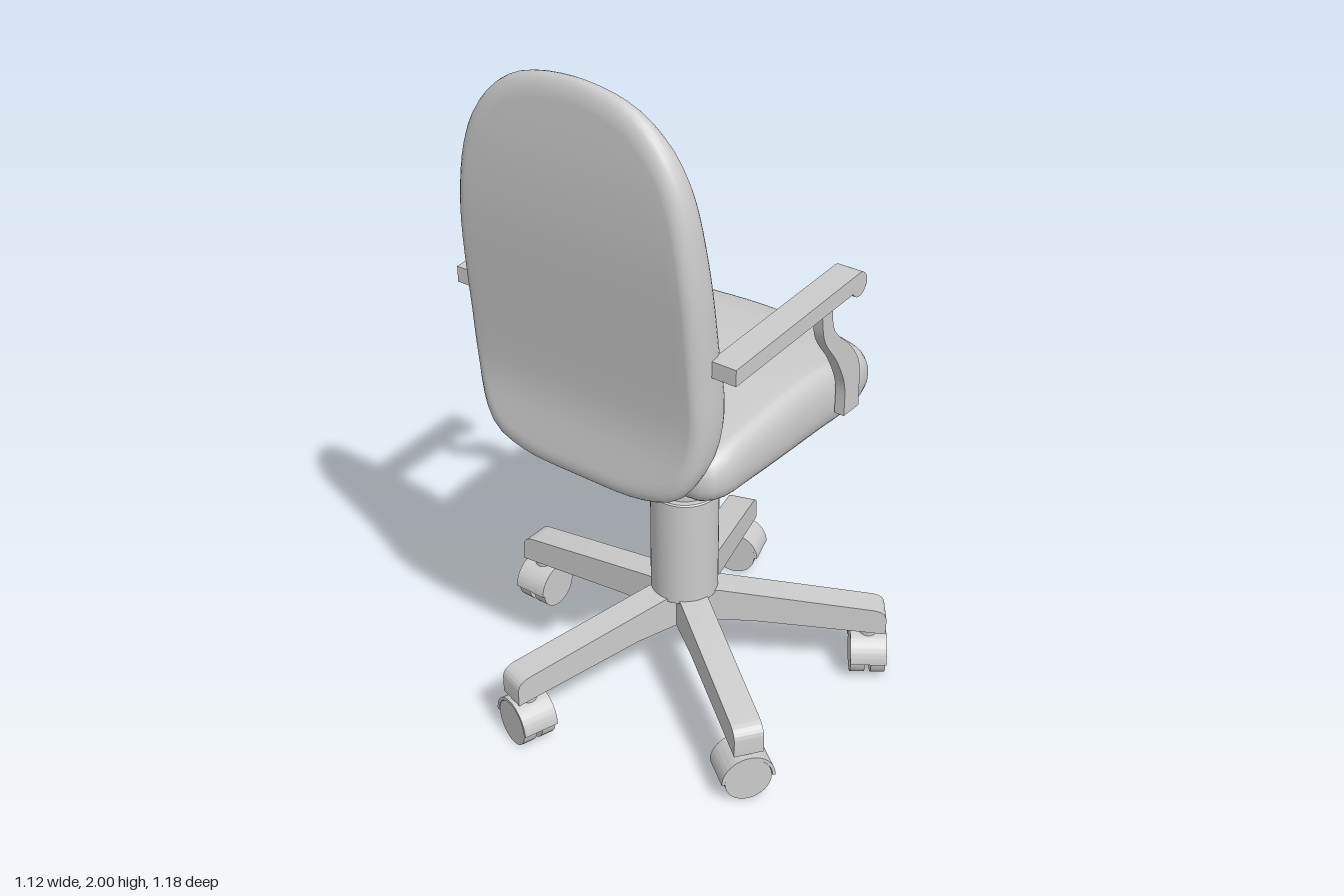
import * as THREE from 'three';
import { toCreasedNormals } from 'three/addons/utils/BufferGeometryUtils.js';

const material = new THREE.MeshStandardMaterial({ color: 0xcccccc, roughness: 0.8 });

function addMesh(parent, name, geometry, x = 0, y = 0, z = 0) {
  const mesh = new THREE.Mesh(geometry, material);
  mesh.name = name;
  mesh.position.set(x, y, z);
  parent.add(mesh);
  return mesh;
}

// Smooth function through a few [position, value] pairs, positions ascending
function profile(pairs) {
  const f = new THREE.CubicInterpolant(pairs.map(p => p[0]), pairs.map(p => p[1]), 1, new Float32Array(1));
  return t => f.evaluate(t)[0];
}

// Cushion: a symmetric outline shrunk into rings, with a rounded rim and two curved faces.
// place(u, v, w) gives the 3D point; w runs from -1 (one face) to 1 (other face).
function cushion(half, centreV, rim, place) {
  const mirrored = half.filter(p => p[0] > 0).reverse().map(([u, v]) => [-u, v]);
  const curve = new THREE.CatmullRomCurve3(
    [...half, ...mirrored].map(([u, v]) => new THREE.Vector3(u, v, 0)), true);
  const n = 80;
  const outline = curve.getSpacedPoints(n).slice(0, n);

  const rings = [];
  const inner = 10, round = 12;
  for (let i = 1; i < inner; i++) rings.push([(1 - rim) * i / inner, -1]);
  for (let i = 0; i <= round; i++) {
    const a = -Math.PI / 2 + Math.PI * i / round;
    const s = Math.sin(a);
    rings.push([1 - rim * (1 - Math.cos(a)), Math.sign(s) * Math.abs(s) ** 0.85]);
  }
  for (let i = inner - 1; i > 0; i--) rings.push([(1 - rim) * i / inner, 1]);

  const positions = [], index = [];
  for (const [s, w] of rings)
    for (const p of outline) positions.push(...place(p.x * s, centreV + (p.y - centreV) * s, w));
  for (let j = 0; j < rings.length - 1; j++)
    for (let i = 0; i < n; i++) {
      const k = (i + 1) % n;
      const a = j * n + i, b = j * n + k, c = b + n, d = a + n;
      index.push(a, b, c, a, c, d);
    }
  const first = rings.length * n, last = first + 1, top = (rings.length - 1) * n;
  positions.push(...place(0, centreV, -1), ...place(0, centreV, 1));
  for (let i = 0; i < n; i++) {
    const k = (i + 1) % n;
    index.push(first, k, i, last, top + i, top + k);
  }
  const g = new THREE.BufferGeometry();
  g.setAttribute('position', new THREE.Float32BufferAttribute(positions, 3));
  g.setIndex(index);
  g.computeVertexNormals();
  return g;
}

// Flat shape extruded evenly about its own plane
function slab(shape, width) {
  const g = new THREE.ExtrudeGeometry(shape, { depth: width, bevelEnabled: false, curveSegments: 20 });
  g.translate(0, 0, -width / 2);
  return toCreasedNormals(g, 0.6);
}

// Same, with the shape drawn in (z, y) and the width along x
const sideSlab = (shape, width) => slab(shape, width).rotateY(-Math.PI / 2);

function createSeat(chair) {
  const under = profile([[-0.43, 0.945], [-0.37, 0.918], [-0.28, 0.902], [-0.1, 0.897], [0.38, 0.897]]);
  const over = profile([[-0.43, 1.04], [-0.35, 1.065], [-0.25, 1.085], [-0.05, 1.097], [0.2, 1.072], [0.38, 1.04]]);
  const half = [[0, -0.427], [0.2, -0.406], [0.32, -0.378], [0.37, -0.345], [0.387, -0.28], [0.383, -0.1],
    [0.372, 0.2], [0.362, 0.32], [0.33, 0.365], [0.25, 0.374], [0, 0.374]];
  addMesh(chair, 'seat', cushion(half, -0.03, 0.12, (u, v, w) => {
    const top = over(v) - 0.01 * (u / 0.38) ** 2;
    return [u, THREE.MathUtils.lerp(top, under(v), (w + 1) / 2), v];
  }));
  addMesh(chair, 'seatPlate', new THREE.BoxGeometry(0.39, 0.03, 0.39), 0, 0.895, 0);
}

function createBackrest(chair) {
  const front = profile([[0.91, 0.375], [0.98, 0.355], [1.08, 0.32], [1.2, 0.308], [1.4, 0.338],
    [1.6, 0.363], [1.8, 0.376], [2, 0.38]]);
  const rear = profile([[0.91, 0.466], [1, 0.452], [1.1, 0.438], [1.2, 0.44], [1.4, 0.458],
    [1.6, 0.474], [1.8, 0.476], [2, 0.464]]);
  const half = [[0, 0.91], [0.2, 0.916], [0.3, 0.95], [0.355, 1.04], [0.374, 1.15], [0.375, 1.3],
    [0.365, 1.6], [0.325, 1.8], [0.265, 1.9], [0.17, 1.97], [0, 2]];
  addMesh(chair, 'backrest', cushion(half, 1.45, 0.1, (u, v, w) => {
    const hollow = 0.035 * (1 - (u / 0.375) ** 2);
    return [u, v, THREE.MathUtils.lerp(front(v) + hollow, rear(v), (w + 1) / 2)];
  }));
}

function createArmrests(chair) {
  // Slightly rising pad with a rounded grip
  const pad = new THREE.Shape();
  pad.moveTo(0.395, 1.315);
  pad.lineTo(-0.115, 1.345);
  pad.absarc(-0.146, 1.362, 0.034, -0.5, -Math.PI * 1.5, true);
  pad.lineTo(0.395, 1.36);
  // S-curved upright
  const upright = new THREE.Shape();
  upright.moveTo(-0.015, 1.35);
  upright.splineThru([[-0.033, 1.24], [-0.1, 1.145], [-0.143, 1.055], [-0.148, 0.957]]
    .map(p => new THREE.Vector2(...p)));
  upright.lineTo(-0.22, 0.957);
  upright.lineTo(-0.218, 1.06);
  upright.splineThru([[-0.205, 1.11], [-0.16, 1.17], [-0.08, 1.25], [-0.062, 1.35]]
    .map(p => new THREE.Vector2(...p)));
  for (const [side, s] of [['left', 1], ['right', -1]]) {
    const arm = new THREE.Group();
    arm.name = side + 'Armrest';
    addMesh(arm, 'armPad', sideSlab(pad, 0.076), s * 0.407);
    addMesh(arm, 'armUpright', sideSlab(upright, 0.03), s * 0.403);
    chair.add(arm);
  }
}

// Twin-wheel caster with its axle along x
function createCaster() {
  const caster = new THREE.Group();
  caster.name = 'caster';
  for (const s of [-1, 1]) {
    const wheel = new THREE.CylinderGeometry(0.067, 0.067, 0.042, 32).rotateZ(Math.PI / 2);
    addMesh(caster, 'wheel', wheel, s * 0.03, 0.067, 0);
  }
  const hood = new THREE.Shape();
  hood.absarc(0, 0, 0.077, 0, Math.PI, false);
  hood.absarc(0, 0, 0.068, Math.PI, 0, true);
  addMesh(caster, 'hood', sideSlab(hood, 0.106), 0, 0.067, 0);
  addMesh(caster, 'axleBlock', new THREE.BoxGeometry(0.02, 0.08, 0.06), 0, 0.095, 0);
  addMesh(caster, 'stem', new THREE.CylinderGeometry(0.03, 0.03, 0.045, 24), 0, 0.153, 0);
  return caster;
}

function createBase(chair) {
  // Gas column in three telescoping steps: radius, bottom, top
  const steps = [[0.098, 0.3, 0.64], [0.077, 0.6, 0.772], [0.053, 0.75, 0.885]];
  for (const [r, y0, y1] of steps) {
    const b = 0.004;
    const points = [[0, y0], [r, y0], [r, y1 - b], [r - b, y1], [0, y1]].map(p => new THREE.Vector2(...p));
    addMesh(chair, 'column', toCreasedNormals(new THREE.LatheGeometry(points, 40), 0.6));
  }
  // Five tapering legs with casters
  const profileShape = new THREE.Shape();
  profileShape.moveTo(0, 0.2);
  profileShape.lineTo(0.19, 0.2);
  profileShape.lineTo(0.59, 0.155);
  profileShape.lineTo(0.59, 0.205);
  profileShape.quadraticCurveTo(0.588, 0.235, 0.55, 0.241);
  profileShape.lineTo(0.1, 0.308);
  profileShape.lineTo(0, 0.308);
  for (let i = 0; i < 5; i++) {
    const leg = new THREE.Group();
    leg.name = 'leg';
    leg.rotation.y = Math.PI + i * Math.PI * 2 / 5;
    addMesh(leg, 'legBeam', slab(profileShape, 0.084));
    const caster = createCaster();
    caster.position.x = 0.542;
    leg.add(caster);
    chair.add(leg);
  }
}

export function createModel() {
  const chair = new THREE.Group();
  chair.name = 'officeChair';
  createSeat(chair);
  createBackrest(chair);
  createArmrests(chair);
  createBase(chair);
  chair.position.x = 0.035;
  const model = new THREE.Group();
  model.name = 'model';
  model.add(chair);
  return model;
}
